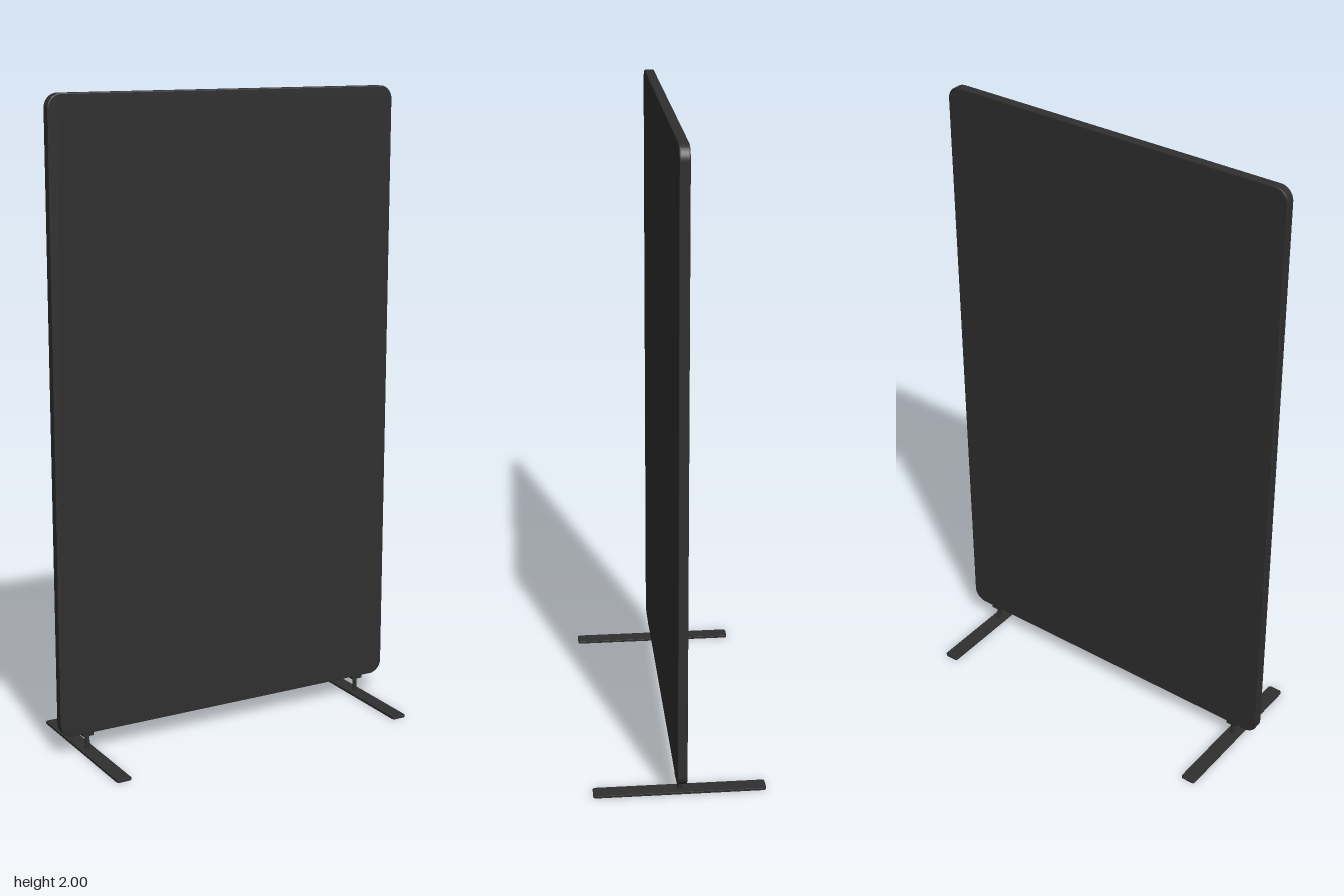
import * as THREE from 'three';

const charcoal = new THREE.MeshStandardMaterial({ color: 0x2f2f2f });
charcoal.name = 'charcoal';

// Rounded rectangle outline centred on the origin
function roundedRect(w, h, r) {
  const x = w / 2, y = h / 2, s = new THREE.Shape();
  s.moveTo(-x + r, -y);
  s.lineTo(x - r, -y);
  s.absarc(x - r, -y + r, r, -Math.PI / 2, 0);
  s.lineTo(x, y - r);
  s.absarc(x - r, y - r, r, 0, Math.PI / 2);
  s.lineTo(-x + r, y);
  s.absarc(-x + r, y - r, r, Math.PI / 2, Math.PI);
  s.lineTo(-x, -y + r);
  s.absarc(-x + r, -y + r, r, Math.PI, Math.PI * 1.5);
  return s;
}

// Slab with softened edges, centred on the origin, thickness along z
function slab(w, h, t, r, bevel) {
  const g = new THREE.ExtrudeGeometry(roundedRect(w - 2 * bevel, h - 2 * bevel, r - bevel), {
    depth: t - 2 * bevel, bevelThickness: bevel, bevelSize: bevel, bevelSegments: 2, curveSegments: 8,
  });
  return g.translate(0, 0, -t / 2 + bevel);
}

function add(parent, name, geometry, x = 0, y = 0, z = 0) {
  const mesh = new THREE.Mesh(geometry, charcoal);
  mesh.name = name;
  mesh.position.set(x, y, z);
  parent.add(mesh);
  return mesh;
}

export function createModel() {
  const model = new THREE.Group();
  model.name = 'partitionScreen';

  // Upright panel
  add(model, 'panel', slab(1.172, 1.938, 0.03, 0.042, 0.003), 0, 1.031, 0);

  // Two feet, each a flat bar, a short post and a mounting plate
  for (const side of [-1, 1]) {
    const foot = new THREE.Group();
    foot.name = side > 0 ? 'leftFoot' : 'rightFoot';
    foot.position.x = side * 0.493;
    const bar = slab(0.048, 0.526, 0.008, 0.008, 0.001).rotateX(-Math.PI / 2);
    add(foot, 'footBar', bar, 0, 0.004, 0);
    add(foot, 'post', new THREE.CylinderGeometry(0.007, 0.007, 0.05, 16), 0, 0.031, 0);
    add(foot, 'mountingPlate', new THREE.BoxGeometry(0.036, 0.01, 0.028), 0, 0.058, 0);
    model.add(foot);
  }
  return model;
}
